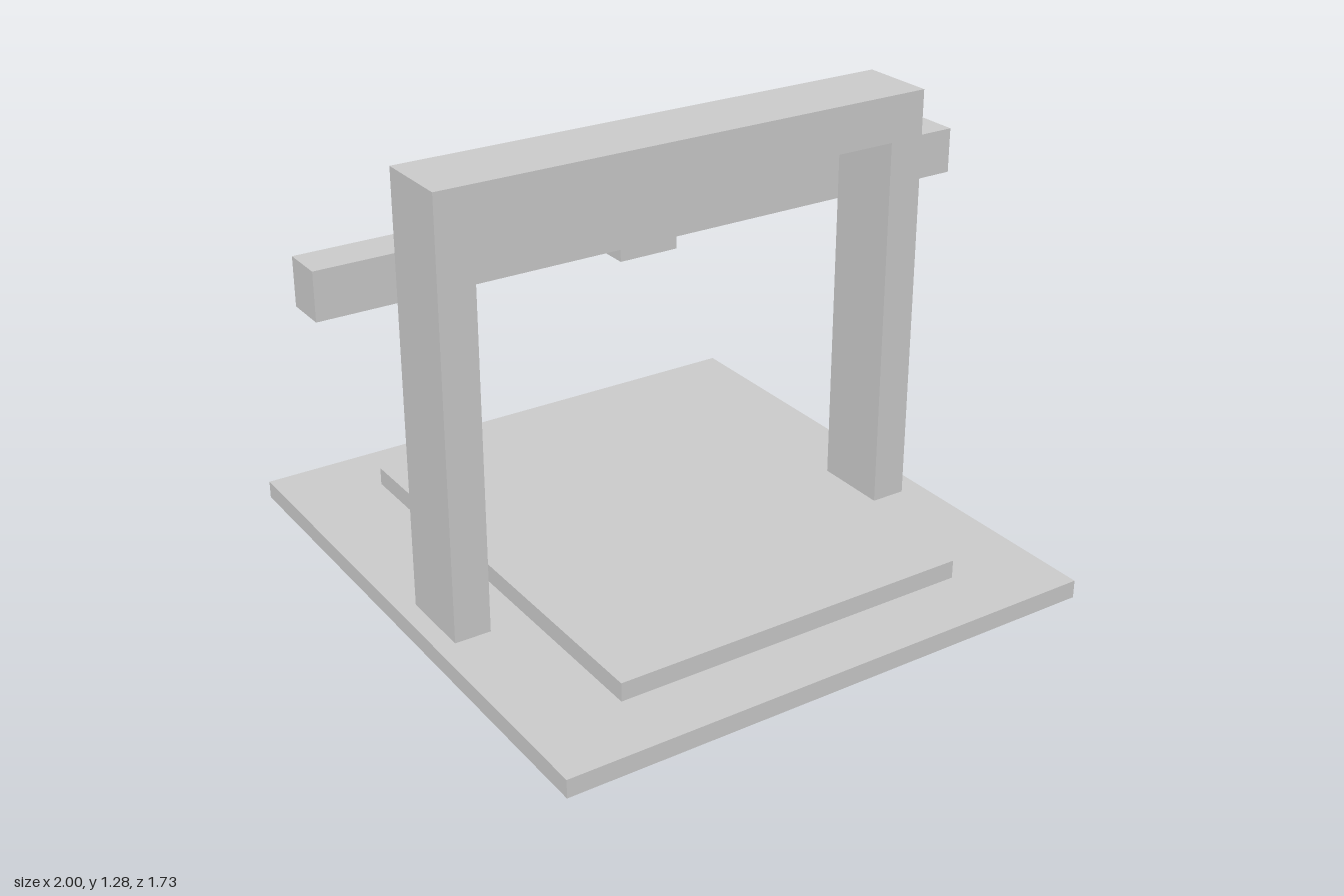
import * as THREE from 'three';

export function createModel() {
  const group = new THREE.Group();
  const material = new THREE.MeshStandardMaterial({ color: 0xcccccc, flatShading: true });

  // Box given by its [min, max] range on each axis
  const addBox = (name, x, y, z) => {
    const size = [x, y, z].map(([a, b]) => b - a);
    const mesh = new THREE.Mesh(new THREE.BoxGeometry(...size), material);
    mesh.position.set(...[x, y, z].map(([a, b]) => (a + b) / 2));
    mesh.name = name;
    group.add(mesh);
  };

  // Base and work bed
  addBox('base', [-0.835, 0.765], [0, 0.052], [-0.863, 0.863]);
  addBox('bed', [-0.563, 0.498], [0.052, 0.105], [-0.668, 0.668]);

  // Portal frame: two posts joined by a top beam
  const frameZ = [-0.008, 0.215];
  addBox('rightPost', [-0.782, -0.678], [0.052, 1.28], frameZ);
  addBox('leftPost', [0.593, 0.697], [0.052, 1.28], frameZ);
  addBox('topBeam', [-0.678, 0.593], [1.147, 1.28], frameZ);

  // Cross rail behind the frame, with the tool head on it
  addBox('crossRail', [-1, 1], [0.922, 1.055], [-0.127, -0.008]);
  addBox('toolHead', [-0.097, 0.082], [0.862, 1.106], [-0.223, -0.062]);

  return group;
}
